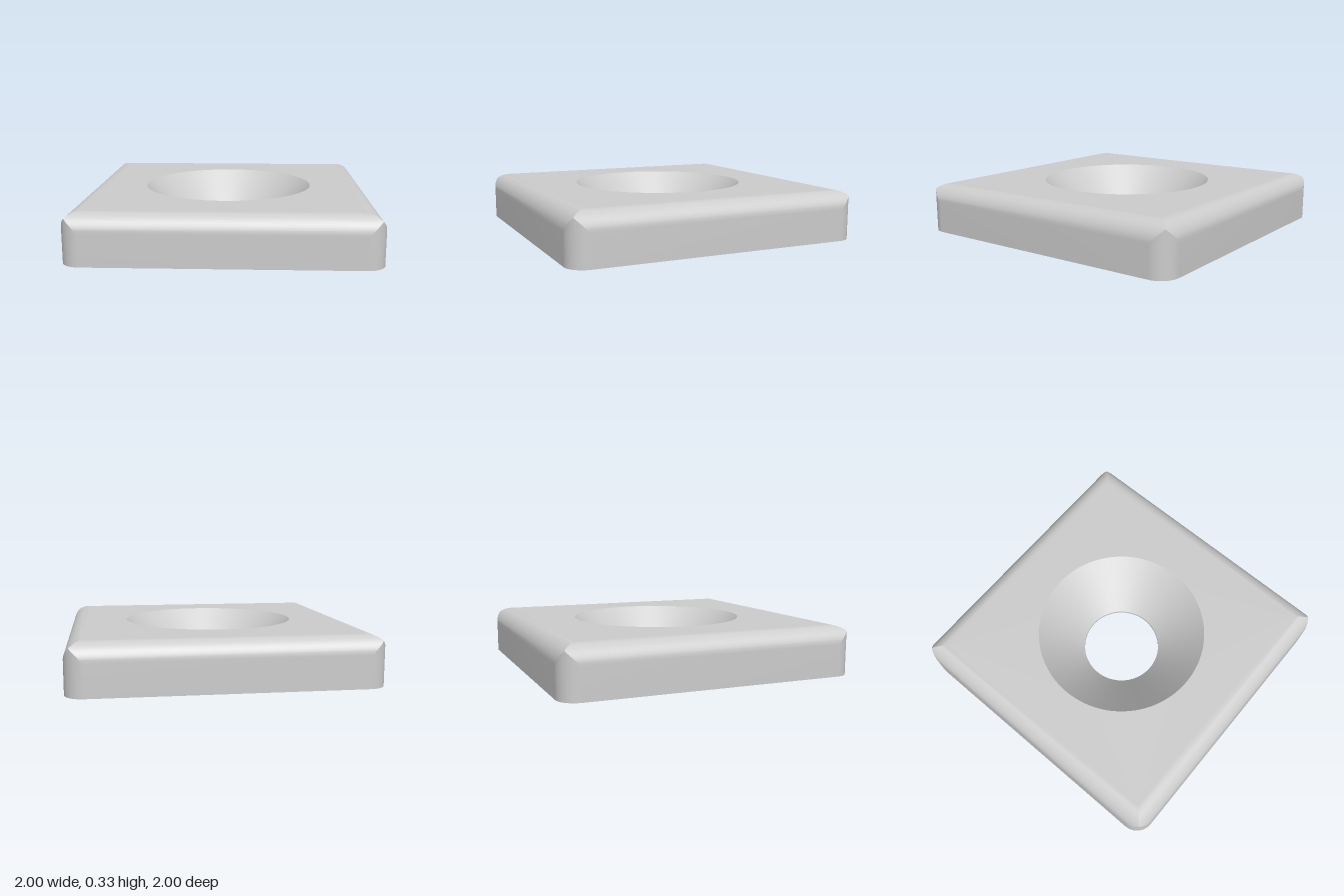
import * as THREE from 'three';
import { toCreasedNormals } from 'three/addons/utils/BufferGeometryUtils.js';

const HEIGHT = 0.333, RADIUS = 0.125, CORE = 1 - RADIUS; // CORE: where the rounding starts
const BORE = 0.277, SINK = 0.592, BORE_TOP = 0.02;
const ARC = 16, SIDES = 96;

// Outline at one height: rounded corners, trimmed by the rounded top edges at angle phi
function outline(y, phi) {
  const points = [];
  for (let corner = 0; corner < 4; corner++) {
    for (let k = 0; k <= ARC; k++) {
      const t = phi + (Math.PI / 2 - 2 * phi) * (k / ARC);
      const sharp = phi >= Math.PI / 4 - 1e-6;
      const u = CORE + RADIUS * Math.cos(sharp ? phi : t);
      const v = CORE + RADIUS * (sharp ? Math.cos(phi) : Math.sin(t));
      const [x, z] = [[u, v], [-v, u], [-u, -v], [v, -u]][corner];
      points.push(new THREE.Vector3(x, y, z));
    }
  }
  return points;
}

// Walls and rounded top edges, lofted through the outlines
function wallGeometry() {
  const rows = [outline(0, 0)];
  for (let i = 0; i <= ARC; i++) {
    const phi = (Math.PI / 2) * (i / ARC);
    rows.push(outline(HEIGHT - RADIUS + RADIUS * Math.sin(phi), phi));
  }
  const positions = [];
  const addTriangle = (a, b, c) => {
    if (new THREE.Triangle(a, b, c).getArea() < 1e-9) return;
    for (const p of [a, b, c]) positions.push(p.x, p.y, p.z);
  };
  for (let i = 0; i < rows.length - 1; i++) {
    const low = rows[i], high = rows[i + 1];
    for (let j = 0; j < low.length; j++) {
      const n = (j + 1) % low.length;
      addTriangle(low[j], high[j], low[n]);
      addTriangle(low[n], high[j], high[n]);
    }
  }
  const geometry = new THREE.BufferGeometry();
  geometry.setAttribute('position', new THREE.Float32BufferAttribute(positions, 3));
  geometry.computeVertexNormals();
  return toCreasedNormals(geometry, 0.3);
}

// Flat face with a round hole
function faceGeometry(points, holeRadius, angle) {
  const shape = new THREE.Shape(points);
  const rim = [];
  for (let i = 0; i < SIDES; i++) {
    const a = (i / SIDES) * Math.PI * 2;
    rim.push(new THREE.Vector2(Math.sin(a) * holeRadius, Math.cos(a) * holeRadius));
  }
  shape.holes.push(new THREE.Path(rim));
  return new THREE.ShapeGeometry(shape).rotateX(angle);
}

// Inward-facing ring of the hole, given from top to bottom
function holeGeometry(topRadius, topY, bottomRadius, bottomY) {
  return new THREE.LatheGeometry(
    [new THREE.Vector2(topRadius, topY), new THREE.Vector2(bottomRadius, bottomY)], SIDES);
}

export function createModel() {
  const model = new THREE.Group();
  model.name = 'countersunkPlate';
  const metal = new THREE.MeshStandardMaterial({ color: 0xcccccc });
  metal.name = 'light grey';

  const add = (name, geometry, y = 0) => {
    const mesh = new THREE.Mesh(geometry, metal);
    mesh.name = name;
    mesh.position.y = y;
    model.add(mesh);
  };

  const square = [[-1, -1], [1, -1], [1, 1], [-1, 1]]
    .map(([x, z]) => new THREE.Vector2(x * CORE, z * CORE));
  const base = outline(0, 0).map((p) => new THREE.Vector2(p.x, p.z));

  add('roundedWalls', wallGeometry());
  add('topFace', faceGeometry(square, SINK, -Math.PI / 2), HEIGHT);
  add('bottomFace', faceGeometry(base, BORE, Math.PI / 2));
  add('countersink', holeGeometry(SINK, HEIGHT, BORE, BORE_TOP));
  add('bore', holeGeometry(BORE, BORE_TOP, BORE, 0));
  return model;
}
